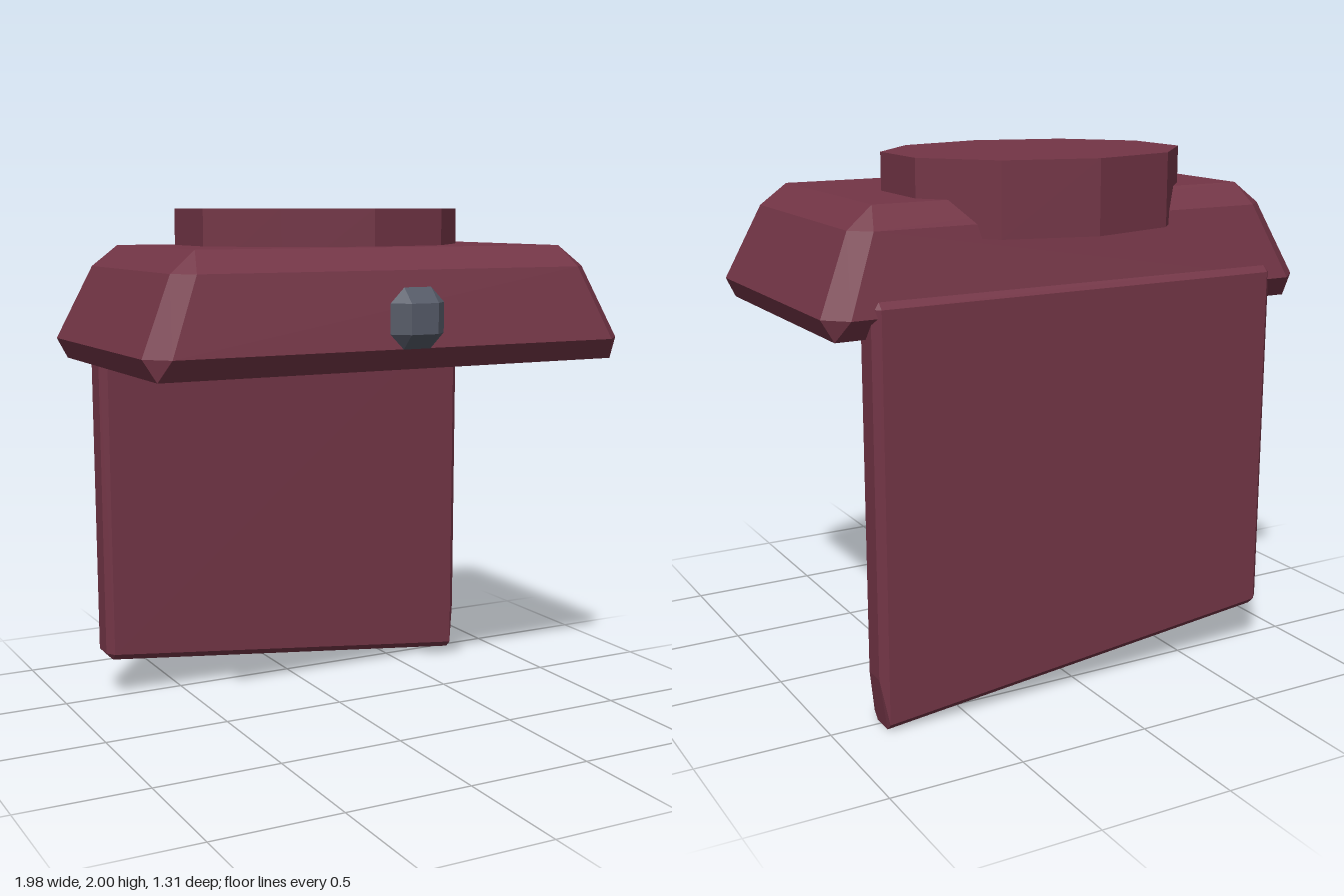
import * as THREE from 'three';
import { ConvexGeometry } from 'three/addons/geometries/ConvexGeometry.js';

const red = new THREE.MeshStandardMaterial({ color: 0x733546, flatShading: true });
red.name = 'maroon';
const grey = new THREE.MeshStandardMaterial({ color: 0x555a67, flatShading: true });
grey.name = 'slate grey';

// Every point is given for +x and mirrored to -x
const mirrorX = (points) => points.flatMap(([x, y, z]) => [
  new THREE.Vector3(x, y, z), new THREE.Vector3(-x, y, z),
]);

function addPart(group, name, geometry, material) {
  const mesh = new THREE.Mesh(geometry, material);
  mesh.name = name;
  group.add(mesh);
  return mesh;
}

export function createModel() {
  const group = new THREE.Group();
  group.name = 'hood';

  // Tapered main body with chamfered edges: [x, y, front z, back z]
  const bodyCorners = [
    [0.945, 1.42, 0.49, -0.51],
    [0.91, 1.5, 0.545, -0.575],
    [0.99, 1.5, 0.465, -0.5],
    [0.79, 1.78, 0.475, -0.5],
    [0.86, 1.78, 0.405, -0.435],
    [0.76, 1.86, 0.385, -0.42],
  ];
  const body = bodyCorners.flatMap(([x, y, f, b]) => [[x, y, f], [x, y, b]]);
  addPart(group, 'body', new ConvexGeometry(mirrorX(body)), red);

  // Hanging back panel with chamfered edges and a slanted lower end
  const panel = [];
  for (const side of [-1, 1]) {
    const low = side < 0 ? 0.17 : 0.003;
    for (const end of [-1, 1]) {
      const zFace = -0.5145 + end * 0.0695;
      const zEdge = -0.5145 + end * 0.0425;
      panel.push(
        [side * 0.805, low + 0.027, zFace], [side * 0.805, 1.53, zFace],
        [side * 0.833, 0.2, zEdge], [side * 0.833, 1.53, zEdge],
        [side * 0.805, low, zEdge], [side * 0.805, 1.557, zEdge],
      );
    }
  }
  addPart(group, 'backPanel', new ConvexGeometry(panel.map((p) => new THREE.Vector3(...p))), red);

  // Ten-sided oval cap overhanging the rear
  const cap = new THREE.CylinderGeometry(0.583, 0.583, 0.27, 10);
  cap.scale(1, 1, 0.47 / 0.583);
  addPart(group, 'topCap', cap, red).position.set(0, 1.865, -0.185);

  // Faceted stud floating at the front
  const s = 0.055;
  const stud = [];
  for (const v of [-1, 1]) {
    stud.push([s, v * s, s], [s, v * s, -s], [s, v * 2 * s, 0], [2 * s, v * s, 0]);
  }
  addPart(group, 'frontStud', new ConvexGeometry(mirrorX(stud)), grey).position.set(0, 1.615, 0.6);

  return group;
}
